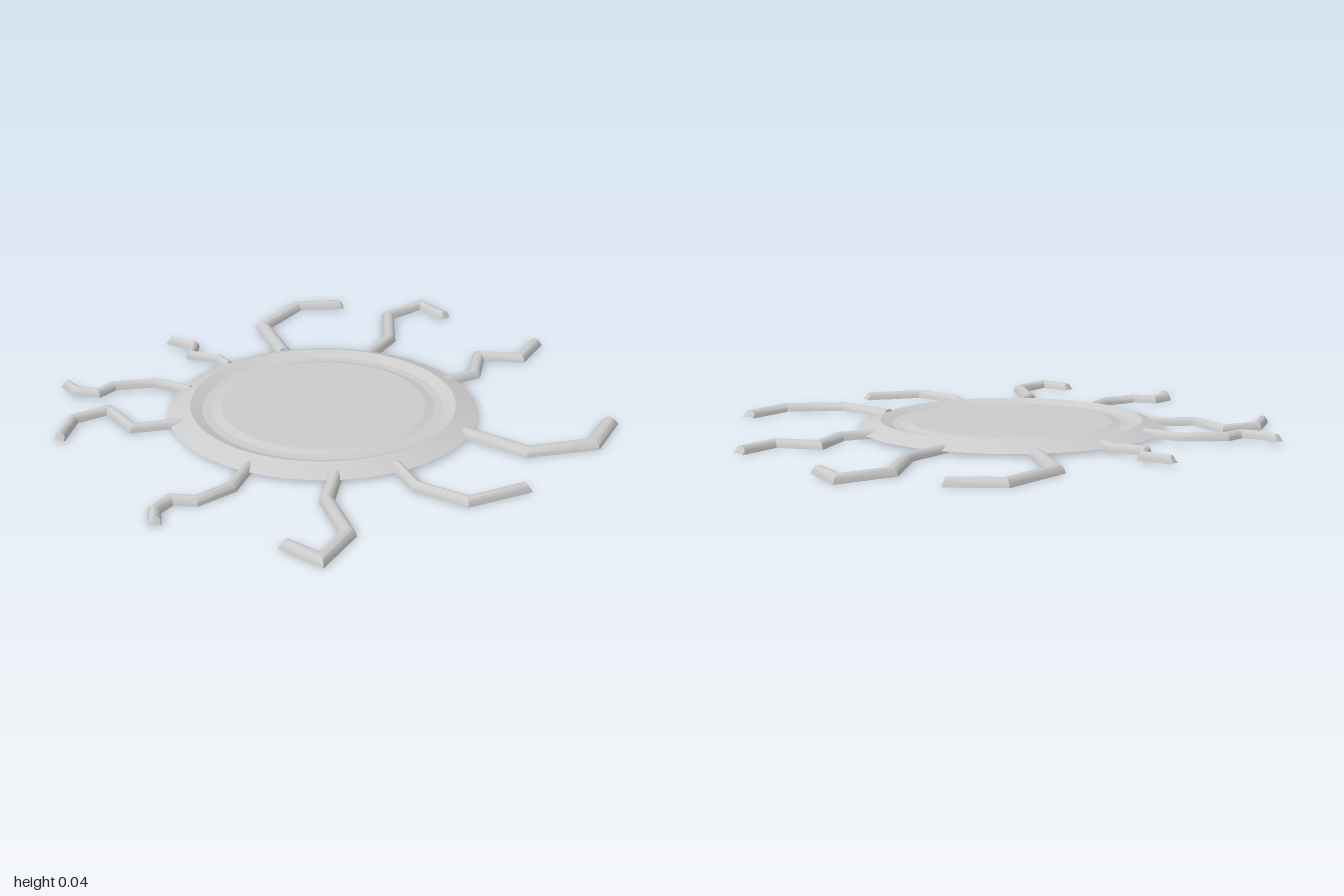
import * as THREE from 'three';
import { toCreasedNormals } from 'three/addons/utils/BufferGeometryUtils.js';

const material = new THREE.MeshStandardMaterial({ color: 0xcccccc, side: THREE.DoubleSide });

// Arms: width, base height, then x/z points from the disc rim to the tip
const ARMS = [
  { w: 0.05, y: 0, p: [[-0.325, -0.345], [-0.495, -0.545], [-0.455, -0.78], [-0.295, -0.86]] },
  { w: 0.045, y: 0, p: [[-0.037, -0.42], [-0.015, -0.6], [-0.095, -0.81], [-0.015, -0.965], [0.115, -0.88]] },
  { w: 0.045, y: 0, p: [[0.285, -0.295], [0.365, -0.405], [0.335, -0.56], [0.478, -0.6], [0.495, -0.765]] },
  { w: 0.052, y: 0, p: [[0.47, 0.055], [0.695, 0.115], [0.875, -0.01], [0.89, -0.205]] },
  { w: 0.04, y: 0, p: [[0.335, 0.35], [0.445, 0.465], [0.615, 0.5], [0.76, 0.345]] },
  { w: 0.045, y: 0, p: [[0.185, 0.48], [0.22, 0.64], [0.35, 0.805], [0.33, 0.968], [0.195, 0.925]] },
  { w: 0.04, y: 0, p: [[-0.087, 0.51], [-0.078, 0.67], [-0.14, 0.785], [-0.215, 0.805], [-0.23, 0.88], [-0.193, 0.95]] },
  { w: 0.036, y: 0.002, p: [[-0.39, 0.31], [-0.54, 0.415], [-0.68, 0.32], [-0.755, 0.425], [-0.725, 0.57]] },
  { w: 0.034, y: 0.008, p: [[-0.49, 0.092], [-0.63, 0.08], [-0.75, 0.155], [-0.77, 0.225], [-0.845, 0.235], [-0.915, 0.195]] },
  { w: 0.032, y: 0.006, p: [[-0.455, -0.15], [-0.515, -0.19], [-0.62, -0.185], [-0.645, -0.268], [-0.757, -0.28]] },
];

// Half-round channel, open below, swept along a mitred polyline
function channel({ w, y, p }) {
  const SIDES = 6, HEIGHT = 0.027;
  const pts = p.map(([x, z]) => new THREE.Vector2(x, z));
  const dirs = pts.slice(1).map((q, i) => q.clone().sub(pts[i]).normalize());
  const rows = pts.map((c, i) => {
    const a = dirs[Math.max(i - 1, 0)], b = dirs[Math.min(i, dirs.length - 1)];
    const t = a.clone().add(b).normalize();
    const miter = Math.min(1 / t.dot(a), 1.7);
    return { c, n: new THREE.Vector2(-t.y, t.x).multiplyScalar(miter), h: HEIGHT };
  });
  // Steep sloping end that closes the tip
  const tip = rows[rows.length - 1];
  const end = tip.c.clone();
  tip.c = end.clone().addScaledVector(dirs[dirs.length - 1], -0.012);
  rows.push({ c: end, n: tip.n, h: 0.003 });

  const pos = [], index = [];
  rows.forEach(({ c, n, h }, r) => {
    for (let s = 0; s <= SIDES; s++) {
      const a = (s / SIDES) * Math.PI, k = Math.cos(a) * w / 2;
      pos.push(c.x + n.x * k, y + Math.sin(a) * h, c.y + n.y * k);
      if (r && s) {
        const i = r * (SIDES + 1) + s, j = i - SIDES - 1;
        index.push(j - 1, j, i - 1, j, i, i - 1);
      }
    }
  });
  const g = new THREE.BufferGeometry();
  g.setAttribute('position', new THREE.Float32BufferAttribute(pos, 3));
  g.setIndex(index);
  return toCreasedNormals(g, 0.65);
}

export function createModel() {
  const model = new THREE.Group();

  // Thin embossed disc: sloped flange, raised rim, groove and flat centre
  const profile = [[0.513, 0.01], [0.44, 0.037], [0.40, 0.022], [0.37, 0.022], [0.34, 0.03], [0, 0.03]];
  const lathe = new THREE.LatheGeometry(profile.map(([r, h]) => new THREE.Vector2(r, h)), 48);
  const disc = new THREE.Mesh(toCreasedNormals(lathe, 0.18), material);
  disc.name = 'disc';
  disc.position.set(-0.021, 0, 0.053);
  model.add(disc);

  // Bent arms radiating from the flange
  const arms = new THREE.Group();
  arms.name = 'arms';
  ARMS.forEach((arm, i) => {
    const mesh = new THREE.Mesh(channel(arm), material);
    mesh.name = `arm${i + 1}`;
    arms.add(mesh);
  });
  model.add(arms);
  return model;
}
